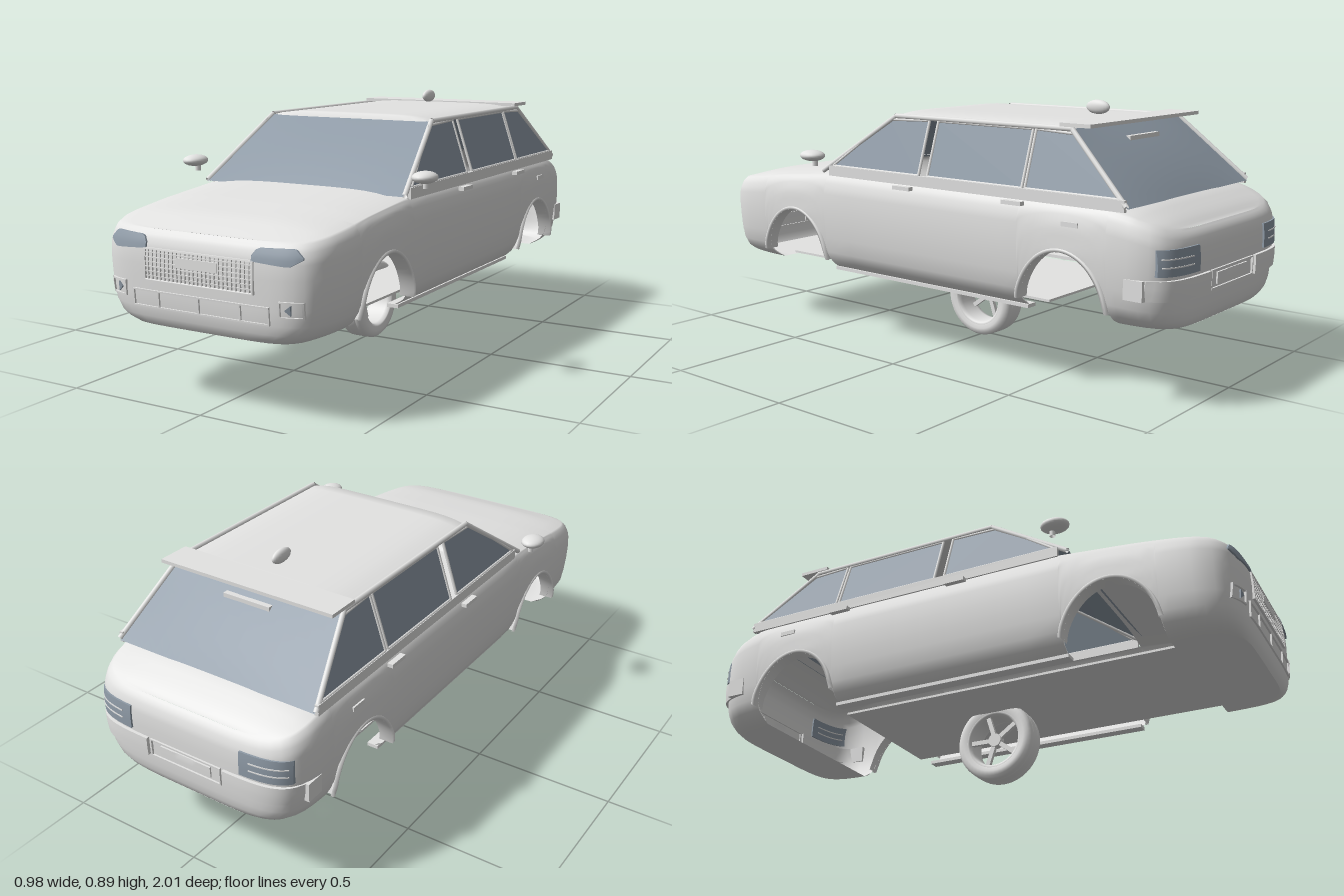
import * as THREE from 'three';
import { mergeGeometries, mergeVertices } from 'three/addons/utils/BufferGeometryUtils.js';

const W = 0.415, L = 0.995, BASE = 0.245;

// Piecewise linear lookup in a short table of [key, value]
function lookup(table, k) {
  if (k <= table[0][0]) return table[0][1];
  for (let i = 1; i < table.length; i++) {
    const [a, p] = table[i - 1], [b, q] = table[i];
    if (k <= b) return p + (q - p) * (k - a) / (b - a);
  }
  return table[table.length - 1][1];
}

// Smooth sheet from a function of column i and row j
function grid(nu, nv, f) {
  const pos = [], idx = [];
  for (let i = 0; i <= nu; i++) for (let j = 0; j <= nv; j++) pos.push(...f(i, j));
  for (let i = 0; i < nu; i++) for (let j = 0; j < nv; j++) {
    const a = i * (nv + 1) + j, b = a + nv + 1;
    idx.push(a, b, b + 1, a, b + 1, a + 1);
  }
  const g = new THREE.BufferGeometry();
  g.setAttribute('position', new THREE.Float32BufferAttribute(pos, 3));
  g.setIndex(idx);
  g.computeVertexNormals();
  return g;
}

// Body form: shoulder height, wall inset by height, wheel openings
const SHOULDER = [[-0.995, 0.545], [-0.95, 0.565], [-0.87, 0.59], [-0.8, 0.605], [0.42, 0.605], [0.67, 0.582], [0.9, 0.555], [0.995, 0.542]];
const INSET = [[0, 0.09], [0.04, 0.06], [0.1, 0.035], [0.2, 0.017], [0.4, 0.005], [0.6, 0], [0.8, 0.002], [0.88, 0.007], [0.95, 0.017], [1, 0.032]];
const ARCHES = [0.585, -0.625], ARCH_R = 0.166, ARCH_H = 0.213;
function lowerEdge(z) {
  let y = BASE;
  for (const c of ARCHES) y = Math.max(y, BASE + ARCH_H * Math.sqrt(Math.max(0, 1 - ((z - c) / ARCH_R) ** 2)));
  return y;
}
function wallPoint([sx, sz], y) {
  const t = (y - BASE) / (lookup(SHOULDER, sz * L) - BASE);
  const i = lookup(INSET, t), iz = i * (t < 0.5 ? 0.3 : 1);
  return [sx * (W - i), y, sz * L - Math.sign(sz) * iz * sz ** 8];
}
// z of the nose (side 1) or tail (side -1) at x, y
function endZ(x, y, side) {
  const sx = Math.min(0.995, Math.abs(x) / (W - lookup(INSET, (y - BASE) / 0.298)));
  return wallPoint([sx, side * (1 - sx ** 6) ** (1 / 16)], y)[2];
}

function bodyShell() {
  const xs = [0, 0.15, 0.3, 0.45, 0.6, 0.7, 0.78, 0.85, 0.9, 0.94, 0.97];
  const atX = (s) => xs.map((x) => [x, s * (1 - x ** 6) ** (1 / 16)]);
  const arch = (c) => Array.from({ length: 25 }, (_, k) => c + ARCH_R * Math.cos(k * Math.PI / 24));
  const zs = [0.86, 0.82, 0.78, ...arch(ARCHES[0]), 0.3, 0.2, 0.1, 0, -0.1, -0.2, -0.3, -0.4, ...arch(ARCHES[1]), -0.82, -0.86];
  const half = [...atX(1), ...zs.map((z) => [(1 - (z / L) ** 16) ** (1 / 6), z / L]), ...atX(-1).reverse()];
  const loop = [...half, ...half.slice(0, -1).reverse().map(([x, z]) => [-x, z])];
  const levels = [0, 0.04, 0.1, 0.2, 0.35, 0.5, 0.65, 0.8, 0.86, 0.91, 0.95, 0.98, 1];
  const wall = grid(loop.length - 1, levels.length - 1, (i, j) => {
    const z = loop[i][1] * L, lo = lowerEdge(z);
    return wallPoint(loop[i], lo + (lookup(SHOULDER, z) - lo) * levels[j]);
  });
  // Sheets spanning both walls: crowned on top, flat underneath
  const span = (rows, top) => grid(rows.length - 1, 16, (i, j) => {
    const [sx, sz] = rows[i], [x, y, z] = wallPoint(rows[i], top ? lookup(SHOULDER, sz * L) : BASE), u = j / 8 - 1;
    const crown = top ? 0.02 * (1 - u ** 4) * Math.min(1, Math.max(0, (0.96 - Math.abs(z)) / 0.12)) : 0;
    return [x * u, y + crown, sx < 0.61 ? z * (1 + 0.003 * (1 - u ** 6)) : z];
  });
  const rows = (test) => half.filter(([sx, sz]) => sx >= 0.6 && test(sz * L));
  const sheets = [
    span(rows((z) => z > 0.415).reverse(), true), // bonnet
    span(rows((z) => z < -0.815).reverse(), true), // tail deck
    span(rows((z) => z > 0.75), false), // nose underside
    span(rows((z) => z < -0.79), false), // tail underside
  ];
  const g = mergeVertices(mergeGeometries([wall, ...sheets].map((p) => p.deleteAttribute('normal'))), 1e-4);
  g.computeVertexNormals();
  return g;
}

export function createModel() {
  const car = new THREE.Group();
  car.name = 'car';
  const paint = new THREE.MeshStandardMaterial({ color: 0xe4e4e3, side: THREE.DoubleSide });
  paint.name = 'light grey';
  const glass = new THREE.MeshStandardMaterial({ color: 0x909ca8, side: THREE.DoubleSide });
  glass.name = 'blue grey glass';
  const add = (name, geo, mat = paint, parent = car) => {
    const m = new THREE.Mesh(geo, mat);
    m.name = name;
    parent.add(m);
    return m;
  };
  const box = (name, x0, x1, y0, y1, z0, z1) =>
    add(name, new THREE.BoxGeometry(x1 - x0, y1 - y0, z1 - z0)).position.set((x0 + x1) / 2, (y0 + y1) / 2, (z0 + z1) / 2);
  const rod = (name, a, b, r) =>
    add(name, new THREE.TubeGeometry(new THREE.LineCurve3(new THREE.Vector3(...a), new THREE.Vector3(...b)), 1, r, 8));
  // Thin block bent onto the nose or tail; shape(x, v) may reshape its height
  const bent = (name, x0, x1, y0, y1, side, depth = 0.012, mat = paint, shape = null) => {
    const g = new THREE.BoxGeometry(x1 - x0, y1 - y0, depth, Math.max(1, Math.ceil((x1 - x0) / 0.012)), 3, 1);
    g.translate((x0 + x1) / 2, (y0 + y1) / 2, 0);
    const p = g.attributes.position;
    for (let i = 0; i < p.count; i++) {
      const x = p.getX(i), y = shape ? shape(Math.abs(x), (p.getY(i) - y0) / (y1 - y0)) : p.getY(i);
      p.setXYZ(i, x, y, p.getZ(i) + endZ(x, y, side));
    }
    g.computeVertexNormals();
    return add(name, g, mat);
  };
  const frame = (name, x0, x1, y0, y1, side, t = 0.005) => {
    bent(name, x0, x1, y0, y0 + t, side);
    bent(name, x0, x1, y1 - t, y1, side);
    bent(name, x0, x0 + t, y0, y1, side);
    bent(name, x1 - t, x1, y0, y1, side);
  };

  add('bodyShell', bodyShell());
  box('floorPan', -0.26, 0.26, 0.247, 0.255, -0.48, 0.76);

  // Roof with turned-down ends, rear visor and aerial
  add('roof', grid(18, 16, (i, j) => {
    const u = j / 8 - 1, k = Math.min(17, Math.max(1, i)) - 1, end = i !== k + 1;
    return [0.325 * u, end ? 0.816 : 0.822 + 0.018 * (1 - u ** 6), -0.6 + 0.735 * k / 16 + (i === 18 ? 0.008 : 0)];
  }));
  box('rearVisor', -0.335, 0.335, 0.832, 0.844, -0.68, -0.565);
  const aerial = add('aerial', new THREE.SphereGeometry(1, 20, 12));
  aerial.scale.set(0.016, 0.024, 0.046);
  aerial.position.set(0, 0.868, -0.485);

  // Windscreen and rear window
  const screen = (name, zLow, zHigh, yLow, yHigh) => add(name, grid(16, 8, (i, j) => {
    const u = i / 8 - 1, v = j / 8;
    return [u * (0.385 - 0.063 * v), yLow + (yHigh - yLow) * v, zLow + (zHigh - zLow) * v + Math.sign(zLow) * 0.012 * (1 - u * u) * v * (1 - v) * 4];
  }), glass);
  screen('windscreen', 0.45, 0.138, 0.612, 0.824);
  screen('rearWindow', -0.848, -0.605, 0.61, 0.826);
  box('highBrakeLight', -0.09, 0.09, 0.775, 0.79, -0.67, -0.645);

  // Side windows with trim, drawn as z, y outlines
  const windows = [
    [[0.395, 0.636], [-0.022, 0.636], [-0.022, 0.818], [0.165, 0.812]],
    [[-0.062, 0.636], [-0.46, 0.636], [-0.46, 0.818], [-0.062, 0.818]],
    [[-0.472, 0.636], [-0.82, 0.636], [-0.615, 0.812], [-0.472, 0.818]],
  ];
  const sideX = (y) => 0.388 - 0.063 * (y - 0.63) / 0.19;
  for (const s of [-1, 1]) {
    for (const w of windows) {
      const g = new THREE.ShapeGeometry(new THREE.Shape(w.map((p) => new THREE.Vector2(...p))));
      const p = g.attributes.position;
      for (let i = 0; i < p.count; i++) p.setXYZ(i, s * sideX(p.getY(i)), p.getY(i), p.getX(i));
      g.computeVertexNormals();
      add('sideWindow', g, glass);
      w.forEach(([z, y], i) => {
        const [z2, y2] = w[(i + 1) % 4];
        rod('windowTrim', [s * sideX(y), y, z], [s * sideX(y2), y2, z2], 0.005);
      });
    }
    rod('frontPillar', [s * 0.388, 0.614, 0.445], [s * 0.324, 0.826, 0.135], 0.009);
    rod('rearPillar', [s * 0.388, 0.615, -0.845], [s * 0.324, 0.826, -0.605], 0.009);
    rod('roofRail', [s * 0.325, 0.826, 0.135], [s * 0.325, 0.826, -0.61], 0.009);
    box('beltMoulding', s * 0.386 - 0.007, s * 0.386 + 0.007, 0.6, 0.636, -0.84, 0.41);
    box('sill', s * 0.335 - 0.02, s * 0.335 + 0.02, 0.244, 0.256, -0.465, 0.425);
    for (const z of [0.033, -0.44]) box('doorHandle', s * 0.408 - 0.01, s * 0.408 + 0.01, 0.585, 0.598, z - 0.038, z + 0.038);
    box('sideFlap', s * 0.412 - 0.003, s * 0.412 + 0.003, 0.54, 0.555, -0.69, -0.63);
    box('bumperPadSide', s * 0.398 - 0.009, s * 0.398 + 0.009, 0.345, 0.408, -0.915, -0.85);

    // Wheel opening lips
    for (const c of ARCHES) add('archLip', grid(32, 3, (i, j) => {
      const a = 0.2 + i * (Math.PI - 0.4) / 32, y = BASE + ARCH_H * Math.sin(a), d = [0.014, 0.01, 0, 0][j];
      const x = [0.408, 0.419, 0.416, 0.365][j] - 0.015 * Math.max(0, 1 - (y - BASE) / 0.07);
      return [s * x, y + d * Math.sin(a), c + (ARCH_R + d) * Math.cos(a)];
    }));

    // Door mirrors
    const mirror = add('mirror', new THREE.SphereGeometry(1, 20, 14));
    mirror.scale.set(0.04, 0.02, 0.05);
    mirror.position.set(s * 0.452, 0.677, 0.43);
    rod('mirrorStem', [s * 0.45, 0.668, 0.42], [s * 0.45, 0.64, 0.42], 0.01);

    // Lamps and bumper pads
    const pair = (a, b) => (s > 0 ? [a, b] : [-b, -a]);
    const low = [[0.193, 0.488], [0.315, 0.48], [0.35, 0.5]], high = [[0.193, 0.505], [0.207, 0.526], [0.325, 0.53], [0.35, 0.506]];
    bent('headlamp', ...pair(0.193, 0.35), 0, 1, 1, 0.012, glass, (x, v) => lookup(low, x) + (lookup(high, x) - lookup(low, x)) * v);
    frame('fogLampFrame', ...pair(0.28, 0.352), 0.33, 0.38, 1);
    bent('fogLamp', ...pair(0.3, 0.316), 0, 1, 1, 0.01, glass, (x, v) => 0.355 + (v - 0.5) * 0.03 * (x - 0.298) / 0.018);
    bent('tailLamp', ...pair(0.215, 0.378), 0.42, 0.5, -1, 0.012, glass);
    for (const y of [0.445, 0.47]) bent('tailLampRib', ...pair(0.25, 0.37), y, y + 0.004, -1, 0.016);
    bent('rearBumperPad', ...pair(0.15, 0.395), 0.345, 0.408, -1, 0.02);
  }

  // Grille, plate and lower intake
  frame('grilleFrame', -0.2, 0.2, 0.39, 0.49, 1);
  for (let i = 1; i < 26; i++) bent('grilleBar', -0.2 + i * 0.0154 - 0.0015, -0.2 + i * 0.0154 + 0.0015, 0.39, 0.49, 1, 0.01);
  for (let i = 1; i < 7; i++) bent('grilleSlat', -0.2, 0.2, 0.389 + i * 0.0143, 0.392 + i * 0.0143, 1, 0.01);
  bent('frontPlate', -0.075, 0.075, 0.44, 0.47, 1, 0.014);
  frame('lowerIntake', -0.25, 0.25, 0.305, 0.36, 1);
  for (const x of [-0.15, 0, 0.15]) bent('intakeDivider', x - 0.003, x + 0.003, 0.305, 0.36, 1);
  frame('rearPlateFrame', -0.14, 0.14, 0.345, 0.408, -1);
  bent('rearPlate', -0.1, 0.1, 0.358, 0.395, -1, 0.008);

  // Single wheel under the middle, axle along x
  const wheel = new THREE.Group();
  wheel.name = 'wheel';
  const lathe = (pts) => new THREE.LatheGeometry(pts.map((p) => new THREE.Vector2(...p)), 48);
  add('tyre', lathe([[0.098, -0.044], [0.118, -0.05], [0.134, -0.046], [0.143, -0.036], [0.144, -0.022], [0.139, -0.02], [0.139, -0.016],
    [0.144, -0.014], [0.144, 0.014], [0.139, 0.016], [0.139, 0.02], [0.144, 0.022], [0.143, 0.036], [0.134, 0.046], [0.118, 0.05], [0.098, 0.044]]), paint, wheel);
  add('rim', lathe([[0.104, 0.046], [0.096, 0.046], [0.092, 0.03], [0.092, -0.03], [0.096, -0.046], [0.104, -0.046]]), paint, wheel);
  add('hub', new THREE.CylinderGeometry(0.024, 0.024, 0.03, 20), paint, wheel).position.y = 0.025;
  for (let k = 0; k < 5; k++) {
    const a = k * Math.PI * 2 / 5 + 0.3;
    const spoke = add('spoke', new THREE.BoxGeometry(0.08, 0.014, 0.016), paint, wheel);
    spoke.position.set(0.056 * Math.cos(a), 0.027, -0.056 * Math.sin(a));
    spoke.rotation.y = a;
  }
  wheel.rotation.z = Math.PI / 2;
  wheel.position.set(0, 0.144, 0);
  car.add(wheel);
  return car;
}
